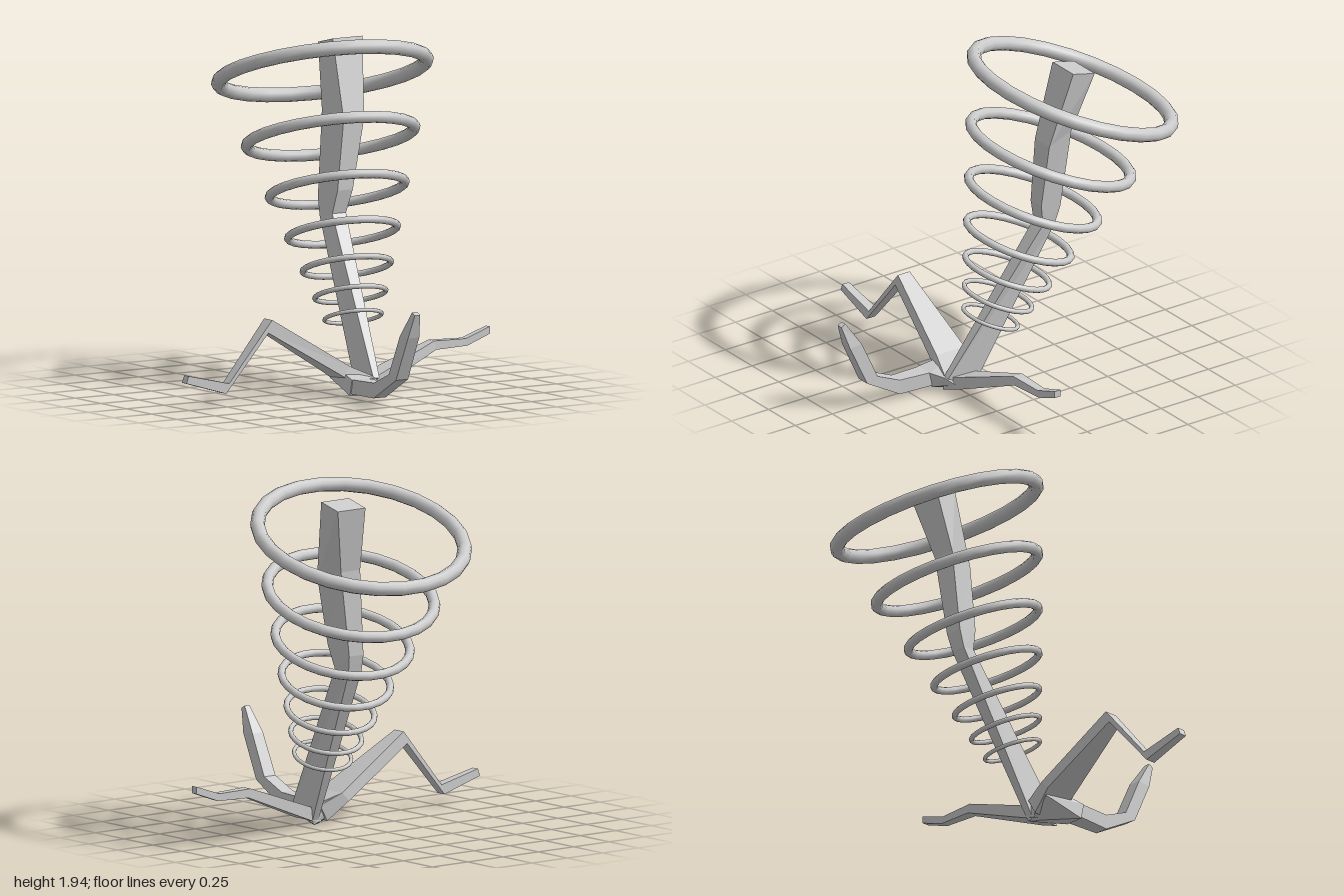
import * as THREE from 'three';
import { ConvexGeometry } from 'three/addons/geometries/ConvexGeometry.js';

const V = (x, y, z) => new THREE.Vector3(x, y, z);
const material = new THREE.MeshStandardMaterial({ color: 0xcccccc });
const flatMaterial = new THREE.MeshStandardMaterial({ color: 0xcccccc, flatShading: true });

// Joins four-cornered cross-sections into a closed, faceted limb
function loft(name, sections) {
  const tris = [];
  const quad = (a, b, c, d) => tris.push([a, b, c], [a, c, d]);
  for (let s = 0; s < sections.length - 1; s++) {
    for (let i = 0; i < 4; i++) {
      const j = (i + 1) % 4;
      quad(sections[s][i], sections[s][j], sections[s + 1][j], sections[s + 1][i]);
    }
  }
  const last = sections[sections.length - 1];
  quad(...[...sections[0]].reverse());
  quad(...last);

  // A negative volume means the faces point inward
  const volume = tris.reduce((sum, [a, b, c]) => sum + a.dot(b.clone().cross(c)), 0);
  const points = tris.flatMap(([a, b, c]) => (volume < 0 ? [a, c, b] : [a, b, c]));
  const geometry = new THREE.BufferGeometry().setFromPoints(points);
  geometry.computeVertexNormals();
  const mesh = new THREE.Mesh(geometry, flatMaterial);
  mesh.name = name;
  return mesh;
}

// Sideways arm section: upper x, y, lower x, y, back z, front z
const armSection = ([ux, uy, lx, ly, zb, zf]) =>
  [V(ux, uy, zb), V(ux, uy, zf), V(lx, ly, zf), V(lx, ly, zb)];

// Forward leg section: upper z, y, lower z, y, left x, right x
const legSection = ([uz, uy, lz, ly, x0, x1]) =>
  [V(x0, uy, uz), V(x1, uy, uz), V(x1, ly, lz), V(x0, ly, lz)];

// Trunk section: front z, y, back z, y, two x limits, sideways shift of the back
const trunkSection = ([fz, fy, bz, by, x0, x1, skew]) =>
  [V(x0, fy, fz), V(x1, fy, fz), V(x1 + skew, by, bz), V(x0 + skew, by, bz)];

export function createModel() {
  const model = new THREE.Group();
  model.name = 'ringedCreature';

  // Leaning, bent trunk that widens toward its top
  model.add(loft('trunk', [
    [0.35, 0.1, 0.18, 0.01, 0.145, 0.185, 0],
    [-0.19, 0.94, -0.285, 0.92, 0.235, 0.325, -0.02],
    [-0.16, 1.07, -0.31, 1.02, 0.25, 0.35, -0.03],
    [-0.16, 1.46, -0.33, 1.5, 0.29, 0.425, -0.03],
    [-0.275, 1.895, -0.42, 1.86, 0.295, 0.49, 0],
  ].map(trunkSection)));

  // Bent right arm
  model.add(loft('rightArm', [
    [0.15, 0.11, 0.1, 0.02, 0.15, 0.35],
    [0.02, 0.17, -0.03, 0.12, 0.12, 0.31],
    [-0.445, 0.455, -0.47, 0.385, 0.155, 0.235],
    [-0.725, 0.125, -0.745, 0.07, 0.17, 0.23],
    [-0.985, 0.185, -1, 0.145, 0.175, 0.22],
  ].map(armSection)));

  // Low left arm
  model.add(loft('leftArm', [
    [0.15, 0.1, 0.12, 0.01, 0.17, 0.34],
    [0.2, 0.105, 0.2, 0.03, 0.17, 0.31],
    [0.625, 0.255, 0.64, 0.205, 0.17, 0.23],
    [0.84, 0.25, 0.85, 0.21, 0.175, 0.22],
    [1, 0.305, 1, 0.265, 0.18, 0.22],
  ].map(armSection)));

  // Upturned front leg with a pointed tip
  model.add(loft('frontLeg', [
    [0.38, 0.11, 0.38, 0.03, -0.025, 0.08],
    [0.59, 0.115, 0.59, 0.03, -0.015, 0.065],
    [0.74, 0.18, 0.81, 0.155, -0.015, 0.065],
    [0.845, 0.405, 0.925, 0.4, -0.012, 0.062],
    [0.94, 0.545, 0.967, 0.53, 0.005, 0.04],
  ].map(legSection)));

  // Wedge-shaped hub where the limbs meet
  const hub = new THREE.Mesh(new ConvexGeometry([
    V(0.02, 0.17, 0.12), V(0, 0.09, 0.14), V(0.16, 0.1, 0.36), V(0.2, 0.06, 0.31),
    V(0.2, 0.1, 0.19), V(0.17, 0, 0.18), V(0.11, 0, 0.21),
    V(-0.03, 0.11, 0.4), V(0.08, 0.11, 0.4), V(-0.03, 0.02, 0.38), V(0.08, 0.02, 0.38),
  ]), flatMaterial);
  hub.name = 'hub';
  model.add(hub);

  // Seven tilted rings, shrinking by a fixed ratio toward a common apex
  const apex = V(0.153, -0.09, 0.253);
  const span = V(0.157, 1.79, -0.653);
  const axis = V(0.09, 0.935, -0.342).normalize();
  const ringGeometry = new THREE.TorusGeometry(0.575, 0.04, 10, 26);
  const rings = new THREE.Group();
  rings.name = 'rings';
  for (let i = 0; i < 7; i++) {
    const scale = Math.pow(0.807, i);
    const ring = new THREE.Mesh(ringGeometry, material);
    ring.name = `ring${i + 1}`;
    ring.position.copy(apex).addScaledVector(span, scale);
    ring.quaternion.setFromUnitVectors(V(0, 0, 1), axis);
    ring.scale.setScalar(scale);
    rings.add(ring);
  }
  model.add(rings);
  return model;
}
